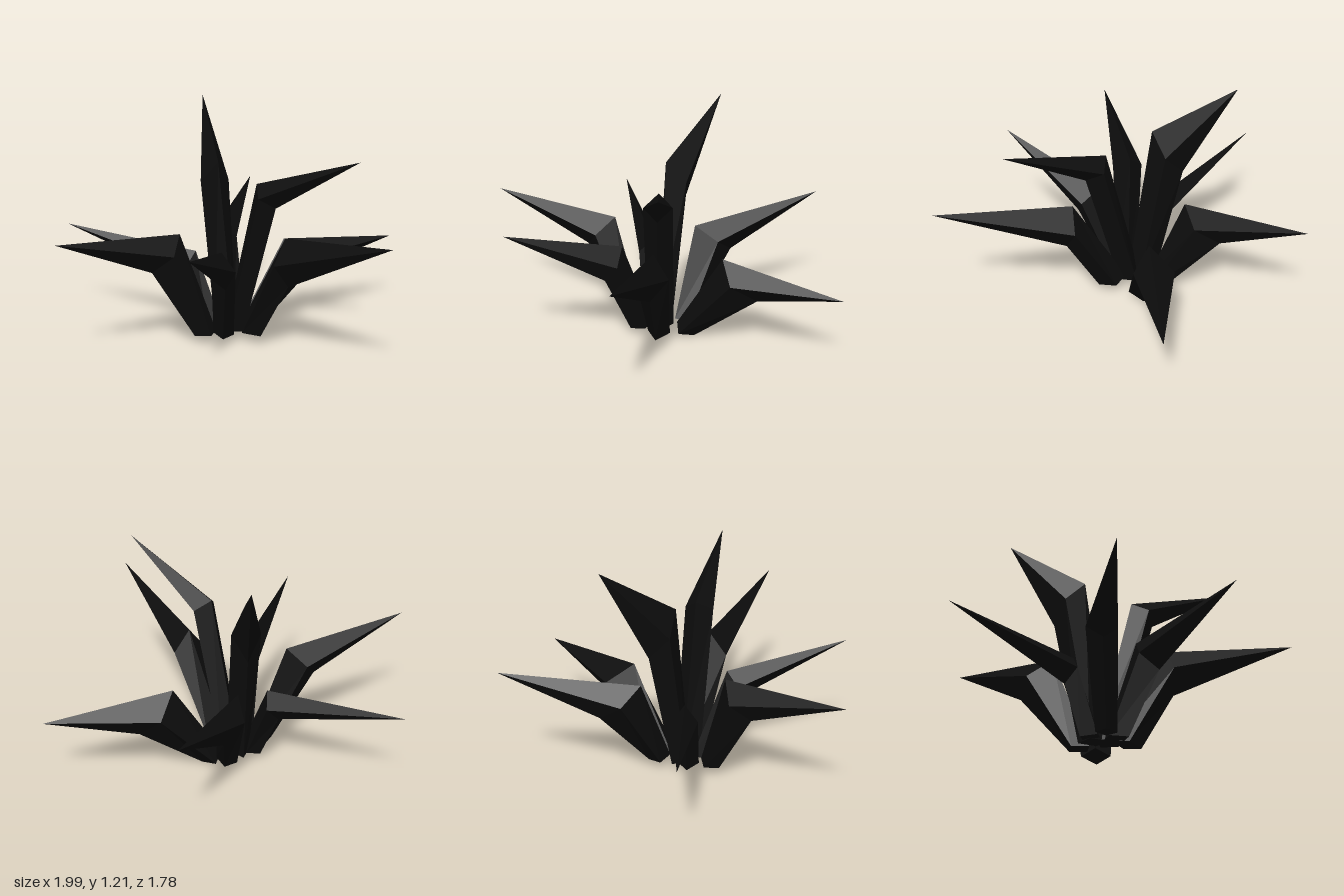
import * as THREE from 'three';

const black = new THREE.MeshStandardMaterial({ color: 0x0d0d0d, flatShading: true });
black.name = 'charcoalBlack';

// Each blade: inner and outer base points, upper and lower elbow points, tip, half widths at base and elbow
const BLADES = [
  { name: 'tallLeaf', inner: [-0.03, 0.06, 0.02], outer: [-0.17, 0.04, -0.04], upper: [-0.15, 0.93, -0.02], lower: [-0.27, 0.70, -0.13], tip: [-0.45, 1.21, -0.32], w0: 0.06, w1: 0.075 },
  { name: 'leftUpperLeaf', inner: [-0.09, 0.06, 0.0], outer: [0.03, 0.04, 0.02], upper: [0.11, 0.86, 0.02], lower: [0.23, 0.75, 0.03], tip: [0.70, 1.05, 0.03], w0: 0.07, w1: 0.075 },
  { name: 'leftLowerLeaf', inner: [0.0, 0.07, 0.0], outer: [0.15, 0.045, 0.04], upper: [0.30, 0.61, 0.05], lower: [0.33, 0.36, 0.07], tip: [0.99, 0.72, 0.25], w0: 0.06, w1: 0.09 },
  { name: 'rightLeaf', inner: [-0.09, 0.06, 0.04], outer: [-0.21, 0.04, 0.05], upper: [-0.25, 0.45, 0.05], lower: [-0.31, 0.29, 0.07], tip: [-1.0, 0.52, 0.20], w0: 0.055, w1: 0.065 },
  { name: 'frontRightLeaf', inner: [-0.09, 0.05, 0.1], outer: [-0.15, 0.04, 0.21], upper: [-0.21, 0.60, 0.25], lower: [-0.28, 0.42, 0.40], tip: [-0.49, 0.66, 0.89], w0: 0.055, w1: 0.08 },
  { name: 'frontLeftLeaf', inner: [-0.07, 0.05, 0.05], outer: [0.0, 0.04, 0.17], upper: [0.02, 0.53, 0.21], lower: [0.10, 0.37, 0.30], tip: [0.23, 0.68, 0.80], w0: 0.055, w1: 0.065 },
  { name: 'backLeftLeaf', inner: [-0.05, 0.05, -0.08], outer: [0.01, 0.0, -0.17], upper: [0.08, 0.48, -0.31], lower: [0.15, 0.27, -0.49], tip: [0.43, 0.405, -0.89], w0: 0.075, w1: 0.105 },
  { name: 'backRightLeaf', inner: [-0.09, 0.05, -0.07], outer: [-0.15, 0.04, -0.17], upper: [-0.25, 0.53, -0.18], lower: [-0.33, 0.36, -0.38], tip: [-0.48, 0.635, -0.86], w0: 0.06, w1: 0.075 },
];

const vec = (p) => new THREE.Vector3(...p);

// Diamond cross-section: ridge, right side, keel, left side
function diamond(top, bottom, side, halfWidth) {
  const mid = top.clone().lerp(bottom, 0.5);
  return [
    top,
    mid.clone().addScaledVector(side, halfWidth),
    bottom,
    mid.clone().addScaledVector(side, -halfWidth),
  ];
}

// A stem rising from the base to the elbow, then tapering to a point
function bladeGeometry({ inner, outer, upper, lower, tip, w0, w1 }) {
  const end = vec(tip);
  const elbow = vec(upper).lerp(vec(lower), 0.5);
  const out = end.clone().sub(elbow).setY(0).normalize();
  const side = out.cross(new THREE.Vector3(0, 1, 0));
  const base = diamond(vec(inner), vec(outer), side, w0);
  const bend = diamond(vec(upper), vec(lower), side, w1);

  const corners = [];
  for (let i = 0; i < 4; i++) {
    const j = (i + 1) % 4;
    corners.push(base[i], base[j], bend[j], base[i], bend[j], bend[i]);
    corners.push(bend[i], bend[j], end);
  }
  corners.push(base[0], base[2], base[1], base[0], base[3], base[2]);

  const geometry = new THREE.BufferGeometry().setFromPoints(corners);
  geometry.computeVertexNormals();
  return geometry;
}

export function createModel() {
  const plant = new THREE.Group();
  plant.name = 'spikyPlant';
  for (const blade of BLADES) {
    const mesh = new THREE.Mesh(bladeGeometry(blade), black);
    mesh.name = blade.name;
    plant.add(mesh);
  }
  return plant;
}
